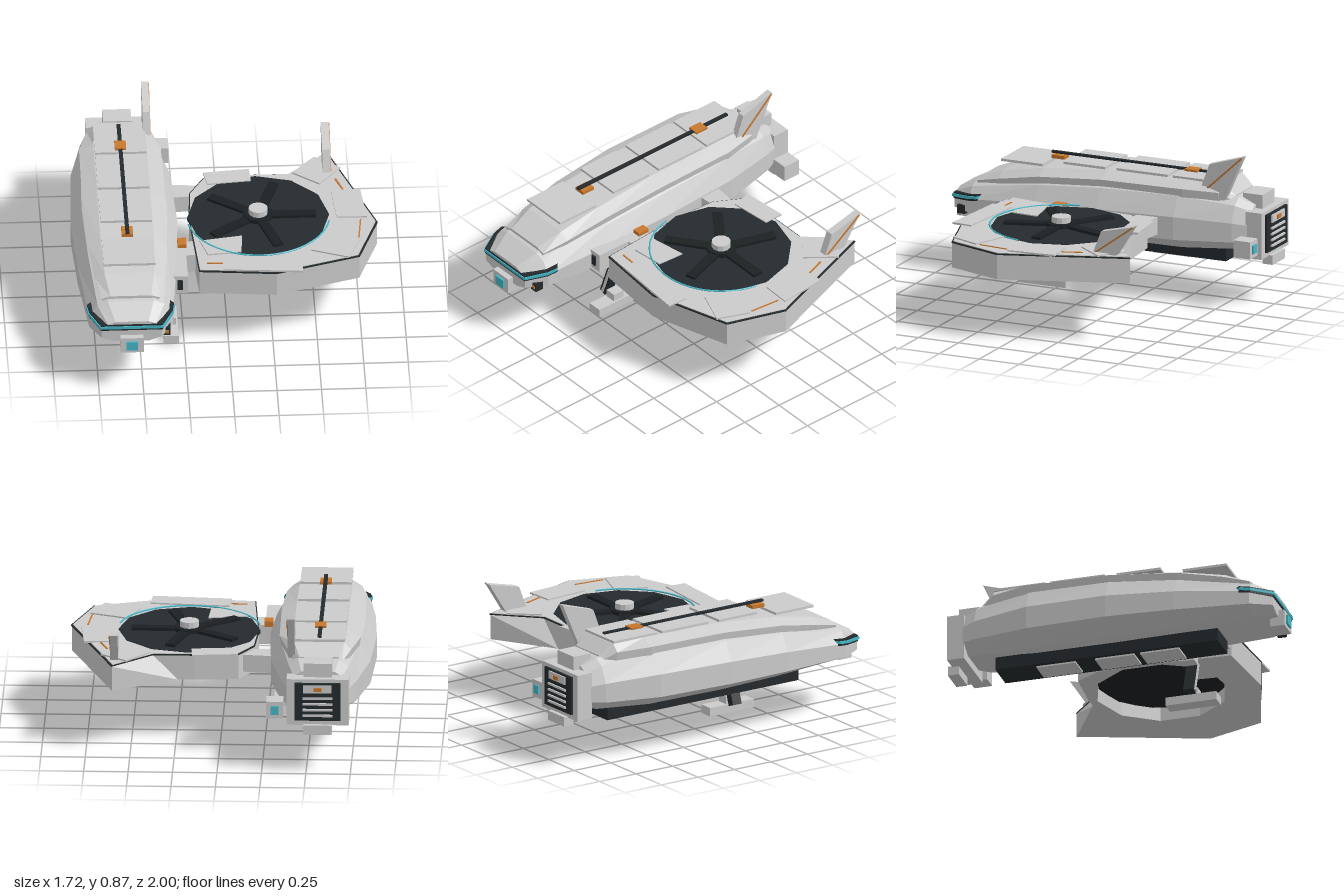
import * as THREE from 'three';

const mat = (color) => new THREE.MeshStandardMaterial({ color, flatShading: true });
const grey = mat(0xcccccc), dark = mat(0x242a2d), black = mat(0x1b2022), orange = mat(0xc8782e), cyan = mat(0x45b8c8);
const HX = -0.565; // hull centre line

function add(group, name, geometry, material = grey, x = 0, y = 0, z = 0) {
  const mesh = new THREE.Mesh(geometry, material);
  mesh.name = name;
  mesh.position.set(x, y, z);
  group.add(mesh);
  return mesh;
}

// box from its min and max on each axis
function box(group, name, x0, x1, y0, y1, z0, z1, material = grey) {
  return add(group, name, new THREE.BoxGeometry(x1 - x0, y1 - y0, z1 - z0), material,
    (x0 + x1) / 2, (y0 + y1) / 2, (z0 + z1) / 2);
}

// flat slab from an outline of [x, z] points, rising from y = 0
function slab(points, height, hole) {
  const flat = (list) => list.map(([x, z]) => new THREE.Vector2(x, -z));
  const shape = new THREE.Shape(flat(points));
  if (hole) shape.holes.push(new THREE.Path(flat(hole)));
  return new THREE.ExtrudeGeometry(shape, { depth: height, bevelEnabled: false }).rotateX(-Math.PI / 2);
}

// faceted body from mirrored half sections, ordered front to back: [z, [[x, y] bottom to top]]
function loft(sections) {
  const rings = sections.map(([z, half]) => [
    ...half.map(([x, y]) => [x, y, z]),
    ...half.slice().reverse().map(([x, y]) => [-x, y, z]),
  ]);
  const out = [], n = rings[0].length, last = rings[rings.length - 1];
  for (let i = 0; i < rings.length - 1; i++) {
    for (let j = 0; j < n; j++) {
      const k = (j + 1) % n, a = rings[i][j], b = rings[i][k], c = rings[i + 1][k], d = rings[i + 1][j];
      out.push(...a, ...d, ...c, ...a, ...c, ...b);
    }
  }
  for (let j = 1; j < n - 1; j++) {
    out.push(...rings[0][0], ...rings[0][j], ...rings[0][j + 1]);
    out.push(...last[0], ...last[j + 1], ...last[j]);
  }
  const g = new THREE.BufferGeometry();
  g.setAttribute('position', new THREE.Float32BufferAttribute(out, 3));
  g.computeVertexNormals();
  return g;
}

// swept fin in the side plane from [z, y] corners, with a trim strip along its middle
function fin(group, name, corners, x, width) {
  const shape = new THREE.Shape(corners.map(([z, y]) => new THREE.Vector2(-z, y)));
  const g = new THREE.ExtrudeGeometry(shape, { depth: width, bevelEnabled: false }).rotateY(Math.PI / 2);
  add(group, name, g, grey, x, 0, 0);
  const [z0, y0] = corners[0], [z1, y1] = corners[2];
  const strip = add(group, name + 'Trim', new THREE.BoxGeometry(0.006, 0.009, Math.hypot(z1 - z0, y1 - y0) * 0.96),
    orange, x + width + 0.002, (y0 + y1) / 2, (z0 + z1) / 2);
  strip.rotation.x = Math.atan2(y1 - y0, z0 - z1);
}

function buildHull() {
  const g = new THREE.Group();
  g.name = 'hull';
  // main body: [z, half width, bottom, top]
  const body = [[0.95, 0.17, 0.33, 0.46], [0.83, 0.235, 0.31, 0.52], [0.4, 0.28, 0.295, 0.6], [0, 0.3, 0.29, 0.64],
    [-0.47, 0.28, 0.29, 0.65], [-0.8, 0.21, 0.31, 0.61], [-0.89, 0.17, 0.33, 0.57]];
  add(g, 'mainBody', loft(body.map(([z, w, b, t]) => {
    const h = t - b;
    return [z, [[w * 0.57, b], [w, b + h * 0.2], [w, b + h * 0.57], [w * 0.8, b + h * 0.88], [w * 0.55, t]]];
  })), grey, HX);
  // raised deck: [z, half width, top half width, base, shoulder, top]
  const deck = [[0.81, 0.165, 0.115, 0.49, 0.525, 0.54], [0.66, 0.195, 0.14, 0.5, 0.56, 0.595],
    [0.4, 0.22, 0.15, 0.52, 0.61, 0.645], [0, 0.235, 0.15, 0.54, 0.645, 0.68],
    [-0.5, 0.23, 0.15, 0.54, 0.65, 0.685], [-0.7, 0.18, 0.14, 0.54, 0.64, 0.68], [-0.78, 0.13, 0.11, 0.54, 0.59, 0.62]];
  add(g, 'upperDeck', loft(deck.map(([z, w, tw, b, s, t]) => [z, [[w * 0.92, b], [w, s], [tw, t]]])), grey, HX);

  // deck panels, spine and clamps
  for (const [z0, z1, y] of [[0.41, 0.67, 0.65], [0.02, 0.28, 0.68], [-0.37, -0.05, 0.683], [-0.7, -0.4, 0.683]])
    box(g, 'deckPanel', HX - 0.145, HX + 0.145, y, y + 0.014, z0, z1);
  box(g, 'spineRail', HX - 0.011, HX + 0.011, 0.695, 0.707, -0.67, 0.42, dark);
  box(g, 'spineClamp', HX - 0.032, HX + 0.032, 0.69, 0.709, -0.5, -0.42, orange);
  box(g, 'spineClamp', HX - 0.032, HX + 0.032, 0.67, 0.69, 0.33, 0.41, orange);

  // keel
  box(g, 'keel', HX - 0.095, HX + 0.095, 0.22, 0.295, -0.71, 0.6, dark);
  for (const z of [0.25, -0.015, -0.36]) box(g, 'keelPlate', HX - 0.07, HX + 0.07, 0.21, 0.222, z - 0.115, z + 0.115);

  // visor band lying close round the nose, rising towards the back
  const path = [[-0.24, 0.77], [-0.23, 0.83], [-0.168, 0.95], [0.168, 0.95], [0.23, 0.83], [0.24, 0.77]];
  const wrap = (grow, h) => {
    const outer = path.map(([x, z]) => [x + Math.sign(x) * grow, z + grow]);
    const inner = path.map(([x, z]) => [x * 0.88, z - 0.03]).reverse();
    const band = slab([...outer, ...inner], h), p = band.attributes.position;
    for (let i = 0; i < p.count; i++) p.setY(i, p.getY(i) + (0.96 - p.getZ(i)) * 0.12);
    band.computeVertexNormals();
    return band;
  };
  add(g, 'visorFrame', wrap(0.005, 0.036), dark, HX, 0.405);
  add(g, 'visorLight', wrap(0.01, 0.016), cyan, HX, 0.417);

  // nose sensors
  box(g, 'sensorHousing', HX - 0.065, HX + 0.065, 0.275, 0.37, 0.9, 0.985);
  box(g, 'sensorLens', HX - 0.033, HX + 0.033, 0.295, 0.35, 0.98, 0.997, cyan);
  box(g, 'sideSensor', -0.39, -0.345, 0.335, 0.385, 0.86, 0.91, dark);
  box(g, 'sideSensorMark', -0.375, -0.355, 0.35, 0.37, 0.905, 0.914, orange);

  fin(g, 'hullFin', [[-0.57, 0.6], [-0.645, 0.8], [-0.855, 0.865], [-0.74, 0.6]], -0.43, 0.04);
  return g;
}

function buildTail() {
  const g = new THREE.Group();
  g.name = 'tail';
  box(g, 'engineBlock', HX - 0.175, HX + 0.175, 0.28, 0.55, -0.97, -0.87);
  box(g, 'topPod', HX - 0.08, HX + 0.08, 0.55, 0.63, -0.93, -0.81);
  box(g, 'lowerPod', HX - 0.08, HX + 0.08, 0.23, 0.285, -0.995, -0.93);
  box(g, 'sidePod', -0.37, -0.275, 0.31, 0.41, -0.955, -0.85);
  box(g, 'sidePodLens', -0.345, -0.3, 0.335, 0.385, -0.965, -0.95, cyan);
  box(g, 'exhaustPanel', HX - 0.13, HX + 0.13, 0.31, 0.53, -0.985, -0.965, dark);
  box(g, 'exhaustHeader', HX - 0.08, HX + 0.08, 0.475, 0.52, -0.993, -0.98);
  box(g, 'exhaustMark', HX - 0.022, HX + 0.022, 0.485, 0.508, -1, -0.99, orange);
  for (let i = 0; i < 4; i++) box(g, 'exhaustSlat', HX - 0.085, HX + 0.085, 0.335 + i * 0.034, 0.347 + i * 0.034, -0.995, -0.98);
  return g;
}

function buildRotorWing() {
  const g = new THREE.Group(), cx = 0.19;
  g.name = 'rotorWing';
  const outline = [[-0.2, 0], [-0.165, 0.525], [0.27, 0.565], [0.74, 0.415], [0.855, 0.08], [0.605, -0.63],
    [0.38, -0.42], [0.15, -0.42], [-0.1, -0.4], [-0.185, -0.25]];
  const scaled = (s) => outline.map(([x, z]) => [cx + (x - cx) * s, z * s]);
  // ten sided opening with an inward step at the front inner corner
  const hole = [];
  for (let i = 0; i < 10; i++) {
    const a = (i + 0.5) * Math.PI / 5;
    if (i === 3) hole.push([0.09, 0.36], [0.08, 0.22], [-0.1, 0.24]);
    else hole.push([cx + Math.cos(a) * 0.375, Math.sin(a) * 0.375]);
  }
  // lower edge of the rear notch slopes outwards
  const ring = slab(outline, 0.143, hole), p = ring.attributes.position;
  for (let i = 0; i < p.count; i++)
    if (p.getY(i) < 0.01 && Math.hypot(p.getX(i) - 0.38, p.getZ(i) + 0.42) < 0.01) p.setX(i, 0.24);
  ring.computeVertexNormals();
  add(g, 'ringBody', ring, grey, 0, 0.355);
  add(g, 'ringSeam', slab(scaled(1.006), 0.007, hole), dark, 0, 0.498);
  add(g, 'ringRim', slab(scaled(0.99), 0.005, hole), grey, 0, 0.504);

  // rotor over a shallow well
  add(g, 'rotorWell', new THREE.CylinderGeometry(0.37, 0.37, 0.07, 12), black, cx, 0.465, 0);
  add(g, 'rotorDisc', new THREE.CylinderGeometry(0.4, 0.4, 0.016, 12), dark, cx, 0.503, 0);
  for (let i = 0; i < 5; i++) {
    const a = i * Math.PI * 0.4;
    add(g, 'rotorBlade', new THREE.BoxGeometry(0.27, 0.016, 0.058), black,
      cx + Math.cos(a) * 0.19, 0.519, -Math.sin(a) * 0.19).rotation.y = a;
  }
  add(g, 'hubBase', new THREE.CylinderGeometry(0.085, 0.085, 0.022, 12), black, cx, 0.522, 0);
  add(g, 'hubCap', new THREE.CylinderGeometry(0.054, 0.054, 0.04, 12), grey, cx, 0.547, 0);
  add(g, 'rotorLight', new THREE.TorusGeometry(0.403, 0.005, 5, 28, Math.PI * 0.88).rotateX(Math.PI / 2).rotateY(-Math.PI * 0.06),
    cyan, cx, 0.517, 0);

  // armour plates
  const plates = [
    [[-0.1, -0.44], [0.16, -0.465], [0.165, -0.35], [-0.08, -0.325]],
    [[0.4, -0.42], [0.53, -0.57], [0.675, -0.46], [0.55, -0.3]],
    [[0.61, -0.23], [0.775, -0.24], [0.8, 0.04], [0.63, 0.035]],
    [[0.545, 0.18], [0.755, 0.26], [0.68, 0.44], [0.475, 0.36]],
    [[-0.02, 0.41], [0.425, 0.45], [0.415, 0.57], [-0.03, 0.535]],
    [[-0.15, 0.24], [0.09, 0.2], [0.08, 0.36], [-0.11, 0.38]],
  ];
  for (const q of plates) add(g, 'armourPlate', slab(q, 0.011), grey, 0, 0.506);
  const strips = [[[0.635, -0.35], [0.645, -0.355], [0.685, -0.24], [0.675, -0.24]],
    [[0.76, 0.06], [0.768, 0.06], [0.75, 0.24], [0.742, 0.24]],
    [[-0.12, 0.455], [-0.03, 0.46], [-0.03, 0.468], [-0.12, 0.463]]];
  for (const q of strips) add(g, 'trimStrip', slab(q, 0.006), orange, 0, 0.507);

  fin(g, 'wingFin', [[-0.4, 0.5], [-0.455, 0.64], [-0.66, 0.69], [-0.54, 0.5]], 0.572, 0.045);

  // pylons to the hull
  add(g, 'rearPylon', slab([[-0.34, -0.38], [-0.06, -0.35], [-0.06, -0.26], [-0.34, -0.24]], 0.1), grey, 0, 0.385);
  box(g, 'frontPylon', -0.34, -0.165, 0.365, 0.48, 0.19, 0.33);
  box(g, 'pylonFairing', -0.31, -0.23, 0.365, 0.48, 0.3, 0.54);
  box(g, 'pylonVent', -0.29, -0.26, 0.395, 0.455, 0.5, 0.55, dark);
  box(g, 'pylonLatch', -0.275, -0.225, 0.47, 0.502, 0.185, 0.255, orange);
  return g;
}

function buildLeg() {
  const g = new THREE.Group();
  g.name = 'landingLeg';
  box(g, 'legMount', -0.43, -0.36, 0.23, 0.32, 0.31, 0.39);
  const strut = add(g, 'strut', new THREE.BoxGeometry(0.045, 0.22, 0.06), dark, -0.362, 0.155, 0.35);
  const rod = add(g, 'strutRod', new THREE.BoxGeometry(0.014, 0.2, 0.012), grey, -0.362, 0.155, 0.382);
  strut.rotation.z = rod.rotation.z = -0.33;
  box(g, 'foot', -0.365, -0.28, 0, 0.05, 0.2, 0.5);
  box(g, 'ankle', -0.355, -0.29, 0.05, 0.095, 0.315, 0.385);
  return g;
}

export function createModel() {
  const model = new THREE.Group();
  model.name = 'aircraft';
  model.add(buildHull(), buildTail(), buildRotorWing(), buildLeg());
  return model;
}
